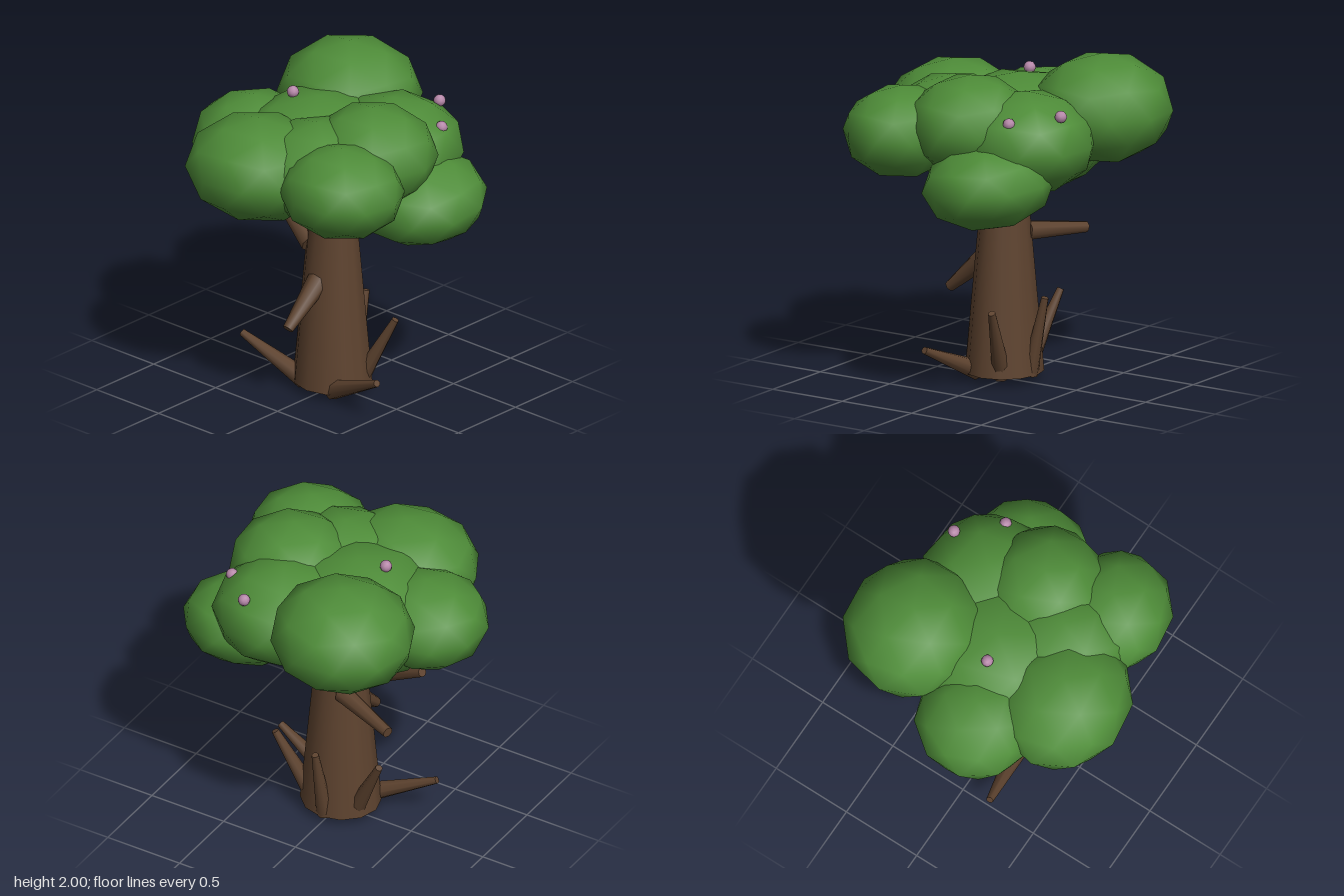
import * as THREE from 'three';

const mat = (name, color) => {
  const m = new THREE.MeshStandardMaterial({ color });
  m.name = name;
  return m;
};

export function createModel() {
  const leafGreen = mat('leafGreen', 0x4e8c38);
  const barkBrown = mat('barkBrown', 0x5e432f);
  const blossomPink = mat('blossomPink', 0xb586a8);

  const tree = new THREE.Group();
  tree.name = 'tree';
  const group = (name) => {
    const g = new THREE.Group();
    g.name = name;
    tree.add(g);
    return g;
  };

  // Trunk, slightly narrower across than deep
  const trunk = new THREE.Mesh(new THREE.CylinderGeometry(0.156, 0.247, 1, 12), barkBrown);
  trunk.name = 'trunk';
  trunk.position.set(-0.015, 0.56, 0);
  trunk.scale.x = 0.94;
  tree.add(trunk);

  // Tapered limb from a thick base to a thin tip
  const up = new THREE.Vector3(0, 1, 0);
  const limb = (parent, name, from, to, r0, r1) => {
    const a = new THREE.Vector3(...from), b = new THREE.Vector3(...to);
    const dir = b.clone().sub(a);
    const mesh = new THREE.Mesh(new THREE.CylinderGeometry(r1, r0, dir.length(), 8), barkBrown);
    mesh.name = name;
    mesh.position.copy(a).add(b).multiplyScalar(0.5);
    mesh.quaternion.setFromUnitVectors(up, dir.normalize());
    parent.add(mesh);
  };

  // Branches
  const branches = group('branches');
  limb(branches, 'rightBranch', [-0.1, 0.78, 0], [-0.41, 0.515, 0], 0.075, 0.033);
  limb(branches, 'leftBackBranch', [0.09, 0.915, -0.08], [0.24, 0.872, -0.485], 0.06, 0.034);
  limb(branches, 'upperBackBranch', [-0.1, 0.95, -0.09], [0.02, 1.22, -0.59], 0.07, 0.03);

  // Roots curling upwards, mirrored front to back
  const roots = group('roots');
  limb(roots, 'leftRoot', [0.165, 0.06, 0], [0.275, 0.545, 0], 0.052, 0.022);
  for (const s of [1, -1]) {
    limb(roots, 'sideRoot', [0.06, 0.065, 0.14 * s], [0.14, 0.505, 0.362 * s], 0.057, 0.022);
    limb(roots, 'longRoot', [-0.14, 0.065, 0.11 * s], [-0.22, 0.265, 0.545 * s], 0.062, 0.022);
  }

  // Leaf clumps: centre, radii, yaw, roll
  const blob = new THREE.IcosahedronGeometry(1, 1).rotateZ(-Math.atan(2 / (1 + Math.sqrt(5))));
  const clumps = [
    ['frontLowClump', [0.21, 1.33, 0.5], [0.4, 0.262, 0.405], 0.3, 0.12],
    ['frontRightClump', [-0.435, 1.565, 0.46], [0.355, 0.28, 0.385], 0.15, 0],
    ['rightClump', [-0.49, 1.555, -0.16], [0.41, 0.317, 0.455], 0.15, 0],
    ['backClump', [-0.12, 1.505, -0.53], [0.375, 0.285, 0.385], 0.3, 0],
    ['backLeftClump', [0.475, 1.675, -0.315], [0.425, 0.333, 0.44], 0.1, 0],
    ['topFrontClump', [-0.03, 1.635, 0.335], [0.385, 0.305, 0.395], 0.1, 0],
    ['leftClump', [0.29, 1.55, 0.21], [0.42, 0.31, 0.43], 0.5, 0],
    ['middleClump', [-0.29, 1.56, 0.14], [0.41, 0.31, 0.4], 0.3, 0],
    ['coreClump', [0, 1.495, -0.13], [0.56, 0.37, 0.54], 0, 0],
  ];
  const canopy = group('canopy');
  for (const [name, position, scale, yaw, roll] of clumps) {
    const mesh = new THREE.Mesh(blob, leafGreen);
    mesh.name = name;
    mesh.position.set(...position);
    mesh.scale.set(...scale);
    mesh.rotation.set(0, yaw, roll);
    canopy.add(mesh);
  }

  // Small blossoms
  const blossoms = group('blossoms');
  const bud = new THREE.IcosahedronGeometry(0.037, 1);
  for (const p of [[0.372, 1.733, 0.52], [0.595, 1.765, 0.3], [-0.04, 1.85, -0.3]]) {
    const mesh = new THREE.Mesh(bud, blossomPink);
    mesh.name = 'blossom';
    mesh.position.set(...p);
    blossoms.add(mesh);
  }

  return tree;
}
